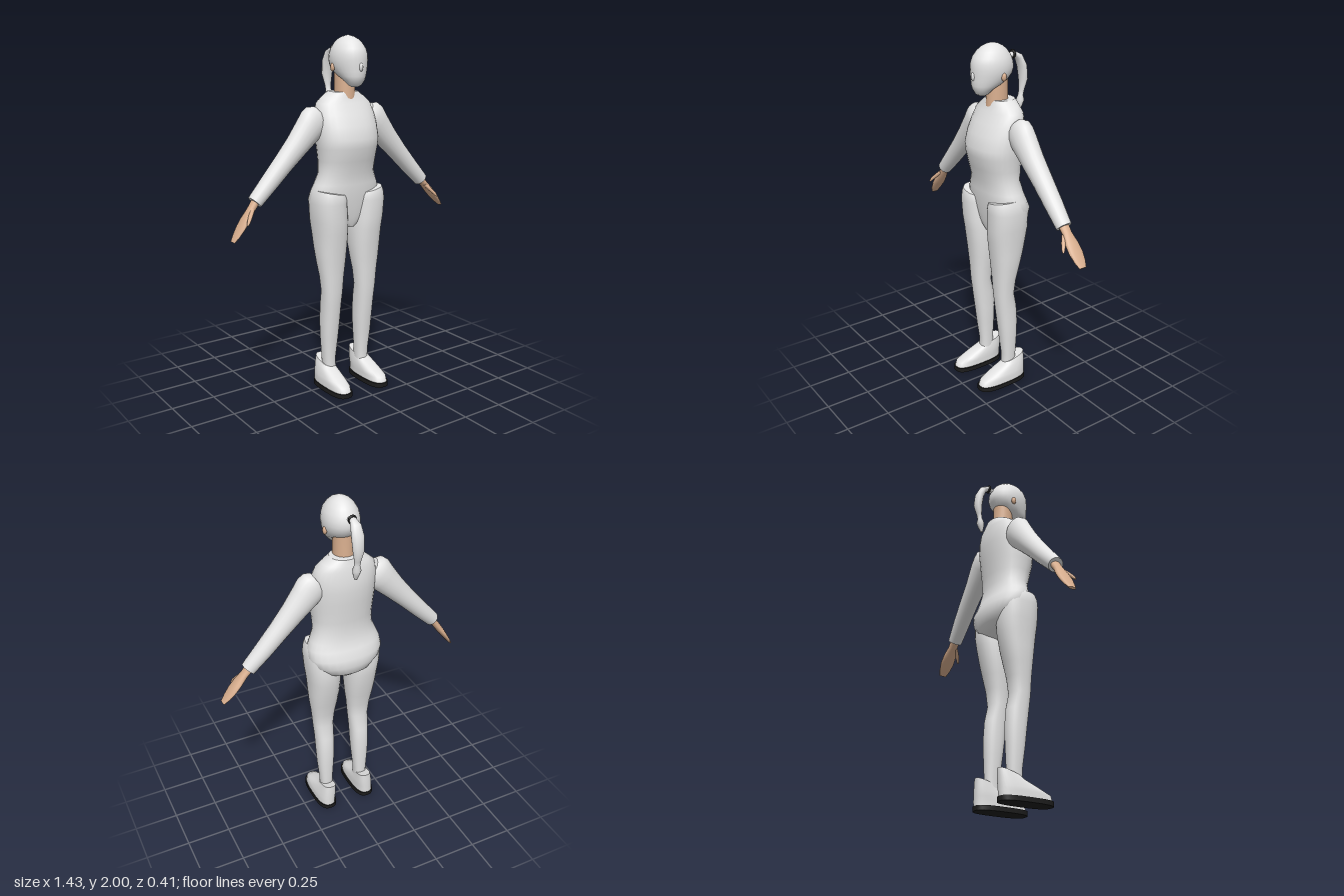
import * as THREE from 'three';

const mat = (name, color) => {
  const m = new THREE.MeshStandardMaterial({ color });
  m.name = name;
  return m;
};

// Skin a list of rings (functions of angle giving a Vector3) with flat end caps
function loft(rings, n = 28) {
  const pos = [], idx = [];
  const addRing = (ring) => {
    for (let j = 0; j < n; j++) pos.push(...ring((j / n) * Math.PI * 2).toArray());
  };
  rings.forEach(addRing);
  for (let i = 0; i < rings.length - 1; i++) {
    for (let j = 0; j < n; j++) {
      const a = i * n + j, b = i * n + ((j + 1) % n);
      idx.push(a, a + n, b, b, a + n, b + n);
    }
  }
  [rings[0], rings[rings.length - 1]].forEach((ring, end) => {
    const base = pos.length / 3, c = new THREE.Vector3();
    addRing(ring);
    for (let j = 0; j < n; j++) c.addScaledVector(ring((j / n) * Math.PI * 2), 1 / n);
    pos.push(c.x, c.y, c.z);
    for (let j = 0; j < n; j++) {
      const a = base + j, b = base + ((j + 1) % n);
      if (end) idx.push(a, base + n, b);
      else idx.push(a, b, base + n);
    }
  });
  const g = new THREE.BufferGeometry();
  g.setAttribute('position', new THREE.Float32BufferAttribute(pos, 3));
  g.setIndex(idx);
  g.computeVertexNormals();
  return g;
}

// Upright body from rows [y, halfWidth, zFront, zBack, centreX, tiltX, tiltZ], bottom to top
const pw = (v, e) => Math.sign(v) * Math.abs(v) ** e;
const upright = (rows, e = 1) => loft(rows.map(([y, hw, zf, zb, cx = 0, tx = 0, tz = 0]) => (a) => {
  const c = pw(Math.cos(a), e), s = pw(Math.sin(a), e);
  return new THREE.Vector3(cx + hw * c, y + tx * c + tz * s, (zf + zb) / 2 + ((zf - zb) / 2) * s);
}));

// Limb along a path of [x, y, z, radiusAlongW, radiusAcross]
function limb(points, w, n = 20) {
  const P = points.map((p) => new THREE.Vector3(p[0], p[1], p[2]));
  return loft(points.map((p, i) => {
    const d = P[Math.min(i + 1, P.length - 1)].clone().sub(P[Math.max(i - 1, 0)]).normalize();
    const u = d.cross(w);
    return (a) => P[i].clone().addScaledVector(u, p[4] * Math.cos(a)).addScaledVector(w, p[3] * Math.sin(a));
  }), n);
}

export function createModel() {
  const cloth = mat('pale grey', 0xe4e4e4);
  const skin = mat('skin', 0xd8ae8e);
  const black = mat('black', 0x1c1c1c);
  const X = new THREE.Vector3(1, 0, 0), Z = new THREE.Vector3(0, 0, 1);

  const model = new THREE.Group();
  model.name = 'figure';
  const body = new THREE.Group();
  body.name = 'body';
  body.position.x = -0.01;
  model.add(body);
  const add = (parent, name, geo, m) => {
    const mesh = new THREE.Mesh(geo, m);
    mesh.name = name;
    parent.add(mesh);
    return mesh;
  };

  // Torso, from crotch to collar
  add(body, 'torso', upright([
    [0.95, 0.025, 0.06, -0.04], [0.975, 0.08, 0.07, -0.1], [1.01, 0.15, 0.078, -0.14],
    [1.06, 0.2, 0.087, -0.152], [1.11, 0.218, 0.094, -0.15], [1.16, 0.212, 0.1, -0.128],
    [1.2, 0.195, 0.102, -0.115], [1.26, 0.17, 0.105, -0.105], [1.33, 0.172, 0.125, -0.11],
    [1.4, 0.18, 0.142, -0.118], [1.45, 0.185, 0.146, -0.123], [1.52, 0.185, 0.125, -0.13],
    [1.58, 0.18, 0.095, -0.128], [1.64, 0.165, 0.062, -0.12], [1.67, 0.13, 0.048, -0.112],
    [1.7, 0.085, 0.04, -0.105],
  ], 0.9), cloth);

  // Neck and head
  add(body, 'neck', upright([[1.66, 0.057, 0.052, -0.076], [1.75, 0.056, 0.046, -0.07], [1.83, 0.056, 0.04, -0.068]]), skin);
  add(body, 'head', upright([
    [1.728, 0.018, 0.1, 0.07], [1.738, 0.036, 0.12, 0.048], [1.765, 0.058, 0.135, 0.02],
    [1.785, 0.071, 0.141, -0.025], [1.81, 0.084, 0.142, -0.068], [1.84, 0.094, 0.143, -0.092],
    [1.87, 0.098, 0.143, -0.101], [1.9, 0.096, 0.141, -0.097], [1.93, 0.088, 0.131, -0.086],
    [1.96, 0.07, 0.107, -0.064], [1.98, 0.05, 0.083, -0.041], [1.993, 0.029, 0.054, -0.014],
    [2.0, 0.004, 0.025, 0.015],
  ]), cloth);
  const nose = add(body, 'nose', new THREE.SphereGeometry(1, 12, 8), cloth);
  nose.scale.set(0.013, 0.024, 0.014);
  nose.position.set(0, 1.835, 0.138);

  // Ponytail with its band
  add(body, 'ponytail', limb([
    [0, 1.915, -0.085, 0.016, 0.014], [0, 1.925, -0.12, 0.019, 0.014], [0, 1.905, -0.152, 0.03, 0.021],
    [0, 1.855, -0.175, 0.036, 0.024], [0, 1.785, -0.184, 0.032, 0.023], [0, 1.725, -0.175, 0.019, 0.014],
    [0, 1.695, -0.169, 0.017, 0.013], [0, 1.67, -0.167, 0.024, 0.022], [0, 1.64, -0.161, 0.018, 0.016],
    [0, 1.61, -0.156, 0.008, 0.006],
  ], X, 12), cloth);
  const band = add(body, 'hairBand', new THREE.TorusGeometry(0.018, 0.007, 8, 18), black);
  band.position.set(0, 1.924, -0.113);

  // Paired parts, built on +x and mirrored
  [['left', 1, 0.722, 0.975], ['right', -1, 0.7, 0.95]].forEach(([side, s, tipX, tipY]) => {
    const half = new THREE.Group();
    half.name = side + 'Side';
    half.scale.x = s;
    body.add(half);

    const ear = add(half, 'ear', new THREE.SphereGeometry(1, 12, 8), skin);
    ear.scale.set(0.012, 0.022, 0.015);
    ear.position.set(0.093, 1.832, 0.01);

    // Sleeve from shoulder to cuff
    add(half, 'sleeve', limb([
      [0.158, 1.575, -0.025, 0.045, 0.06], [0.175, 1.564, -0.025, 0.06, 0.083],
      [0.195, 1.542, -0.025, 0.065, 0.09], [0.225, 1.508, -0.026, 0.067, 0.082],
      [0.3, 1.425, -0.027, 0.06, 0.067], [0.385, 1.335, -0.029, 0.055, 0.056],
      [0.475, 1.24, -0.029, 0.05, 0.049], [0.545, 1.168, -0.027, 0.044, 0.043], [0.565, 1.147, -0.027, 0.042, 0.041],
    ], Z), cloth);

    // Hand: flat mitten of fingers and a forward thumb
    const along = (t, rz, r) => [0.555 + (tipX - 0.555) * t, 1.158 + (tipY - 1.158) * t, -0.027, rz, r];
    add(half, 'hand', limb([
      along(0, 0.03, 0.022), along(0.22, 0.028, 0.02), along(0.45, 0.04, 0.019),
      along(0.65, 0.043, 0.016), along(0.85, 0.035, 0.011), along(1, 0.022, 0.007),
    ], Z, 14), skin);
    add(half, 'thumb', limb([
      [0.585, 1.115, -0.01, 0.014, 0.012], [0.612, 1.085, 0.012, 0.015, 0.012],
      [0.633, 1.06, 0.03, 0.01, 0.01], [0.643, 1.045, 0.037, 0.005, 0.006],
    ], Z, 10), skin);

    // Leg, ankle to slanted hip edge
    add(half, 'leg', upright([
      [0.1, 0.035, 0.032, -0.05, 0.113], [0.18, 0.038, 0.03, -0.053, 0.115], [0.3, 0.048, 0.046, -0.057, 0.115],
      [0.4, 0.053, 0.058, -0.059, 0.114], [0.5, 0.055, 0.071, -0.052, 0.114], [0.59, 0.06, 0.08, -0.031, 0.114],
      [0.68, 0.068, 0.085, -0.042, 0.114], [0.76, 0.08, 0.092, -0.061, 0.114], [0.84, 0.088, 0.101, -0.081, 0.114],
      [0.93, 0.093, 0.112, -0.1, 0.115], [1.0, 0.096, 0.12, -0.108, 0.121], [1.1, 0.096, 0.122, -0.105, 0.128],
      [1.135, 0.09, 0.12, -0.09, 0.126, 0.012], [1.157, 0.08, 0.112, -0.07, 0.125, 0.016],
    ], 0.85), cloth);

    // Shoe and sole
    add(half, 'shoe', upright([
      [0.022, 0.056, 0.202, -0.107, 0.128], [0.055, 0.056, 0.19, -0.108, 0.128], [0.075, 0.055, 0.145, -0.108, 0.126],
      [0.1, 0.05, 0.09, -0.109, 0.124], [0.125, 0.045, 0.045, -0.109, 0.122, 0, -0.008],
      [0.152, 0.038, 0.027, -0.109, 0.119, 0, -0.02],
    ], 0.75), cloth);
    add(half, 'sole', upright([[0, 0.062, 0.206, -0.11, 0.127], [0.026, 0.062, 0.206, -0.11, 0.127]], 0.7), black);
  });

  return model;
}
